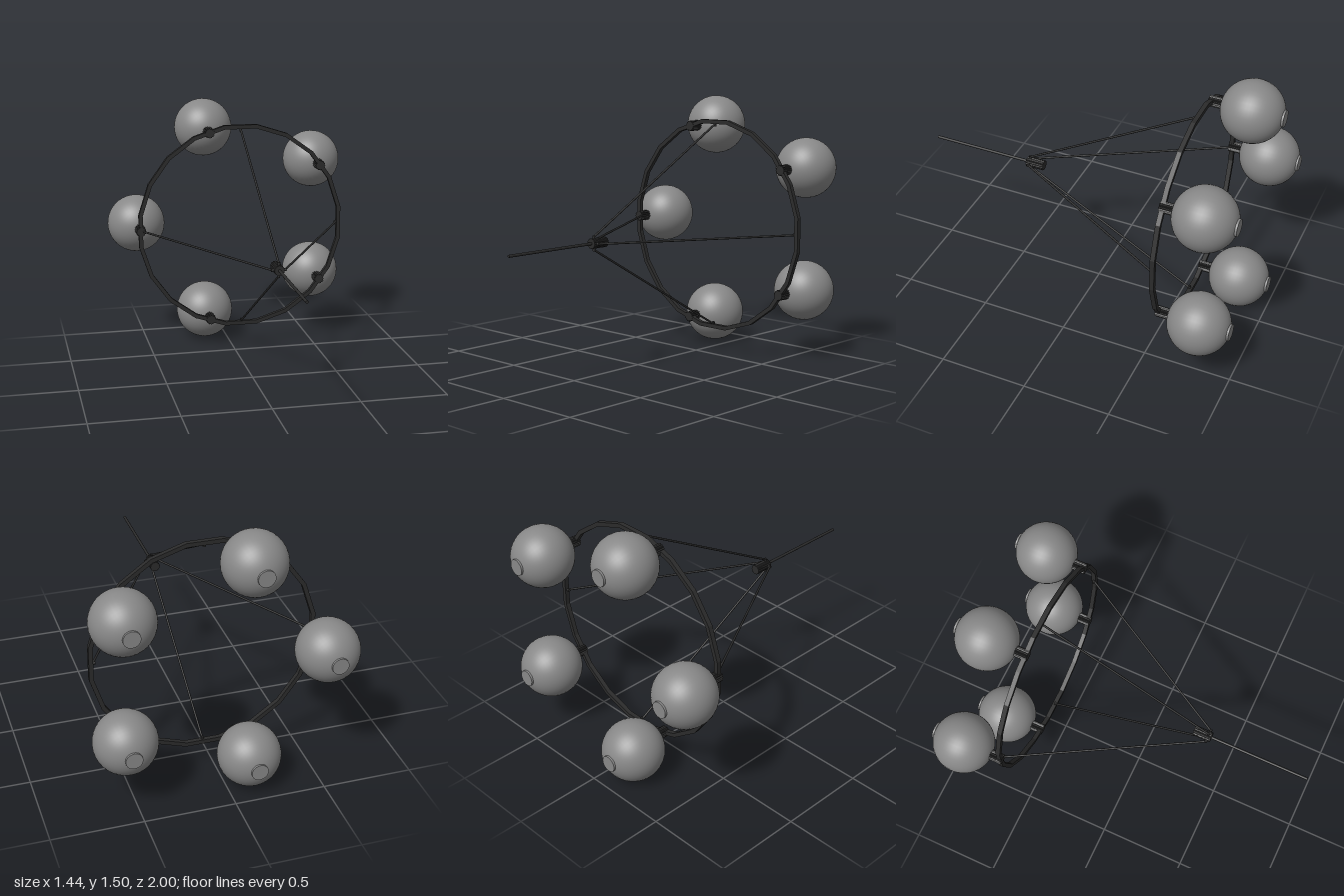
import * as THREE from 'three';

const CX = 0.056, CY = 0.755; // common axis of the whole assembly

const ballMat = new THREE.MeshStandardMaterial({ color: 0x888888 });
ballMat.name = 'grey ball';
const frameMat = new THREE.MeshStandardMaterial({ color: 0x2b2b2b });
frameMat.name = 'dark frame';

function mesh(name, geometry, material, parent) {
  const m = new THREE.Mesh(geometry, material);
  m.name = name;
  parent.add(m);
  return m;
}

// Straight round bar between two points
function bar(name, a, b, radius, material, parent, sides = 12) {
  const dir = new THREE.Vector3().subVectors(b, a);
  const m = mesh(name, new THREE.CylinderGeometry(radius, radius, dir.length(), sides), material, parent);
  m.position.addVectors(a, b).multiplyScalar(0.5);
  m.quaternion.setFromUnitVectors(new THREE.Vector3(0, 1, 0), dir.normalize());
  return m;
}

// Points around a circle, with radius alternating between r0 and r1
function loop(n, r0, r1, offset = 0) {
  return Array.from({ length: n }, (_, i) => {
    const a = offset + (i / n) * Math.PI * 2, r = i % 2 ? r1 : r0;
    return new THREE.Vector2(Math.cos(a) * r, Math.sin(a) * r);
  });
}

// Knurled collar running along z
function knurl(name, outer, inner, teeth, z0, z1, parent) {
  const geo = new THREE.ExtrudeGeometry(new THREE.Shape(loop(teeth * 2, outer, inner)),
    { depth: z1 - z0, bevelEnabled: false });
  geo.translate(0, 0, z0);
  return mesh(name, geo, frameMat, parent);
}

export function createModel() {
  const model = new THREE.Group();
  model.name = 'ballRing';
  const body = new THREE.Group();
  body.name = 'assembly';
  body.position.set(CX, CY, 0);
  model.add(body);
  const V = (x, y, z) => new THREE.Vector3(x, y, z);

  // Twenty-sided hoop
  const half = Math.PI / 20;
  const hoop = new THREE.Shape(loop(20, 0.628, 0.628, half));
  hoop.holes.push(new THREE.Path(loop(20, 0.604, 0.604, half)));
  const hoopGeo = new THREE.ExtrudeGeometry(hoop, { depth: 0.026, bevelEnabled: false });
  hoopGeo.translate(0, 0, -0.608);
  mesh('hoop', hoopGeo, frameMat, body);

  // Hub and front rod
  knurl('hub', 0.029, 0.026, 16, 0.315, 0.42, body);
  bar('frontRod', V(0, 0, 0.33), V(0, 0, 1), 0.008, frameMat, body);

  // Four struts from hub to hoop, with a pin at each end
  for (let i = 0; i < 4; i++) {
    const a = (i * Math.PI) / 2, c = Math.cos(a), s = Math.sin(a);
    const at = (r, z) => V(c * r, s * r, z);
    bar('strut', at(0.035, 0.4), at(0.595, -0.59), 0.006, frameMat, body);
    bar('hubPin', at(0, 0.4), at(0.042, 0.4), 0.008, frameMat, body);
    bar('hoopPin', at(0.582, -0.592), at(0.606, -0.592), 0.008, frameMat, body);
  }

  // Five balls, each on a knurled neck with a round cap at the back
  for (let i = 0; i < 5; i++) {
    const a = Math.PI + (i * Math.PI * 2) / 5;
    const unit = new THREE.Group();
    unit.name = 'ballUnit';
    unit.position.set(Math.cos(a) * 0.607, Math.sin(a) * 0.607, 0);
    body.add(unit);
    const ball = mesh('ball', new THREE.SphereGeometry(0.173, 40, 28), ballMat, unit);
    ball.rotation.x = Math.PI / 2;
    ball.position.z = -0.822;
    knurl('neck', 0.031, 0.025, 16, -0.665, -0.58, unit);
    bar('backCap', V(0, 0, -0.97), V(0, 0, -1), 0.046, ballMat, unit, 32);
  }
  return model;
}
